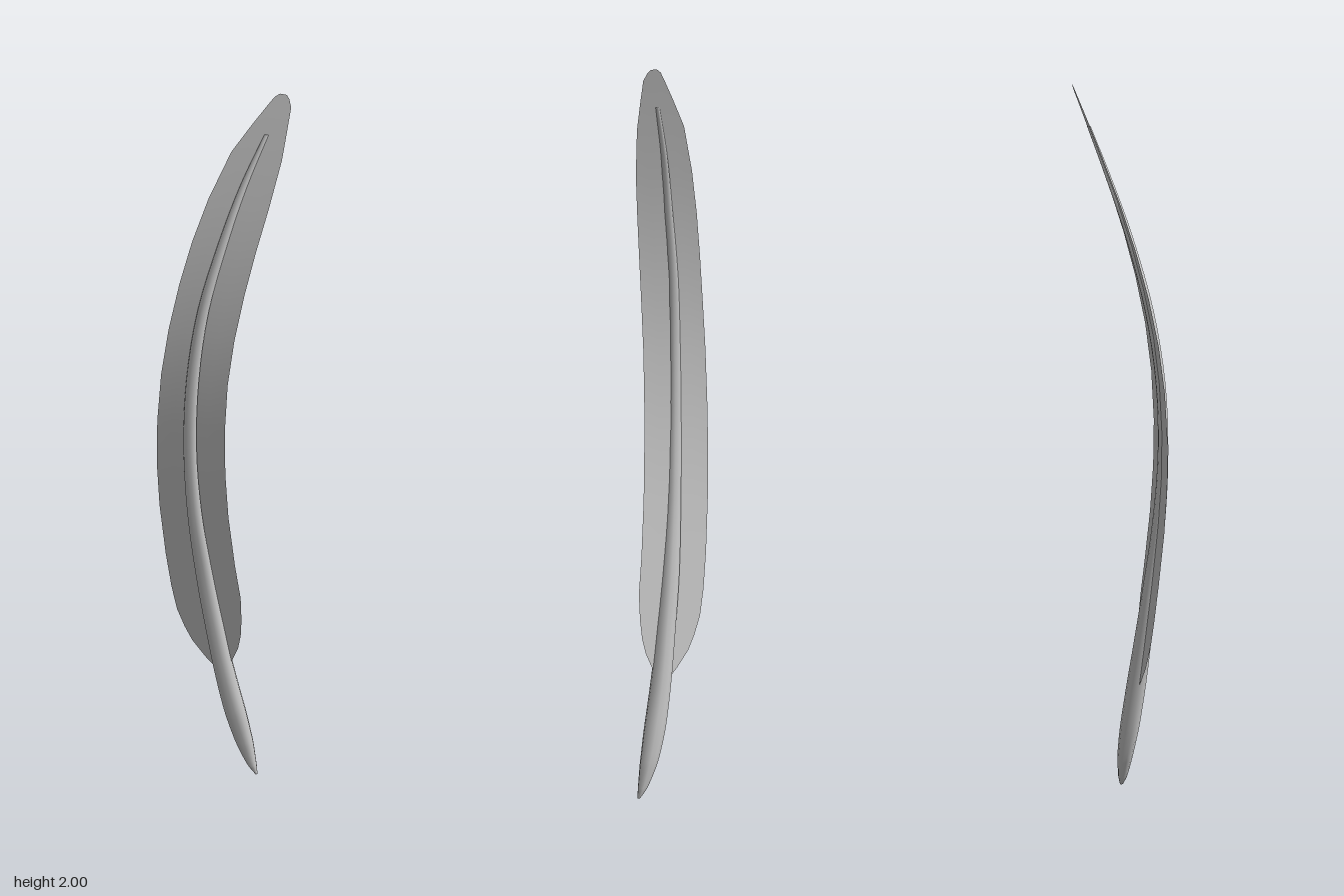
import * as THREE from 'three';

// Skin a list of equal-length point rows; closed rows wrap round into a tube
function loft(rows, closed) {
  const n = rows[0].length, pos = [], index = [];
  for (const row of rows) for (const p of row) pos.push(...p);
  for (let i = 0; i < rows.length - 1; i++) {
    for (let j = 0; j < (closed ? n : n - 1); j++) {
      const a = i * n + j, b = i * n + (j + 1) % n;
      index.push(a, b, b + n, a, b + n, a + n);
    }
  }
  const g = new THREE.BufferGeometry();
  g.setAttribute('position', new THREE.Float32BufferAttribute(pos, 3));
  g.setIndex(index);
  g.computeVertexNormals();
  return g;
}

// Vane bend: forward offset z along the height
const bend = new THREE.SplineCurve([
  [0.3, 0.042], [0.6, 0.068], [0.8, 0.085], [1.0, 0.094], [1.2, 0.088],
  [1.4, 0.063], [1.63, 0.01], [1.85, -0.06], [2.0, -0.112],
].map(([y, z]) => new THREE.Vector2(y, z))).getPoints(160);

function bendAt(y) {
  const i = Math.max(1, bend.findIndex((p) => p.x >= y));
  const a = bend[i - 1], b = bend[i];
  return THREE.MathUtils.mapLinear(y, a.x, b.x, a.y, b.y);
}

// Vane outline: height, left edge x, right edge x
const VANE = [
  [0.32, -0.01, 0.012], [0.345, -0.035, 0.04], [0.39, -0.072, 0.06],
  [0.43, -0.093, 0.069], [0.48, -0.113, 0.073], [0.55, -0.127, 0.073],
  [0.65, -0.14, 0.06], [0.8, -0.153, 0.046], [0.93, -0.158, 0.04],
  [1.06, -0.156, 0.039], [1.2, -0.147, 0.045], [1.33, -0.131, 0.059],
  [1.46, -0.109, 0.079], [1.58, -0.083, 0.101], [1.7, -0.049, 0.125],
  [1.83, 0.0, 0.146], [1.91, 0.05, 0.151], [1.97, 0.09, 0.154],
  [1.99, 0.104, 0.146], [2.0, 0.118, 0.137],
];

// Quill: height, centre x, centre z, half width, half depth
const QUILL = [
  [0.003, 0.1, 0.017, 0.003, 0.004], [0.03, 0.088, 0.018, 0.013, 0.012],
  [0.1, 0.066, 0.021, 0.026, 0.021], [0.2, 0.041, 0.03, 0.031, 0.026],
  [0.32, 0.016, 0.042, 0.029, 0.026], [0.45, -0.006, 0.055, 0.027, 0.023],
  [0.6, -0.029, 0.069, 0.025, 0.019], [0.8, -0.05, 0.09, 0.021, 0.017],
  [1.0, -0.059, 0.1, 0.019, 0.014], [1.2, -0.054, 0.094, 0.018, 0.013],
  [1.4, -0.034, 0.067, 0.016, 0.012], [1.6, 0.008, 0.02, 0.013, 0.01],
  [1.75, 0.047, -0.026, 0.01, 0.008], [1.89, 0.094, -0.073, 0.006, 0.005],
];

export function createModel() {
  const feather = new THREE.Group();
  feather.name = 'feather';
  const material = new THREE.MeshStandardMaterial({ color: 0xcccccc, side: THREE.DoubleSide });

  // Thin curved vane
  const vane = new THREE.Mesh(loft(VANE.map(([y, left, right]) =>
    [0, 0.25, 0.5, 0.75, 1].map((t) => [left + (right - left) * t, y, bendAt(y)])), false), material);
  vane.name = 'vane';
  feather.add(vane);

  // Tapered quill: oval rings along a smooth path, closed at both ends
  const path = new THREE.CatmullRomCurve3(QUILL.map(([y, x, z]) => new THREE.Vector3(x, y, z)));
  const radii = new THREE.CatmullRomCurve3(QUILL.map(([, , , rx, rz]) => new THREE.Vector3(rx, rz, 0)));
  const rings = [], sides = 10, steps = 52;
  const ring = (t, scale) => {
    const c = path.getPoint(t), r = radii.getPoint(t);
    return Array.from({ length: sides }, (_, j) => {
      const a = -j / sides * Math.PI * 2;
      return [c.x + Math.cos(a) * r.x * scale, c.y, c.z + Math.sin(a) * r.y * scale];
    });
  };
  rings.push(ring(0, 0));
  for (let i = 0; i <= steps; i++) rings.push(ring(i / steps, 1));
  rings.push(ring(1, 0));
  const quill = new THREE.Mesh(loft(rings, true), material);
  quill.name = 'quill';
  feather.add(quill);

  return feather;
}
